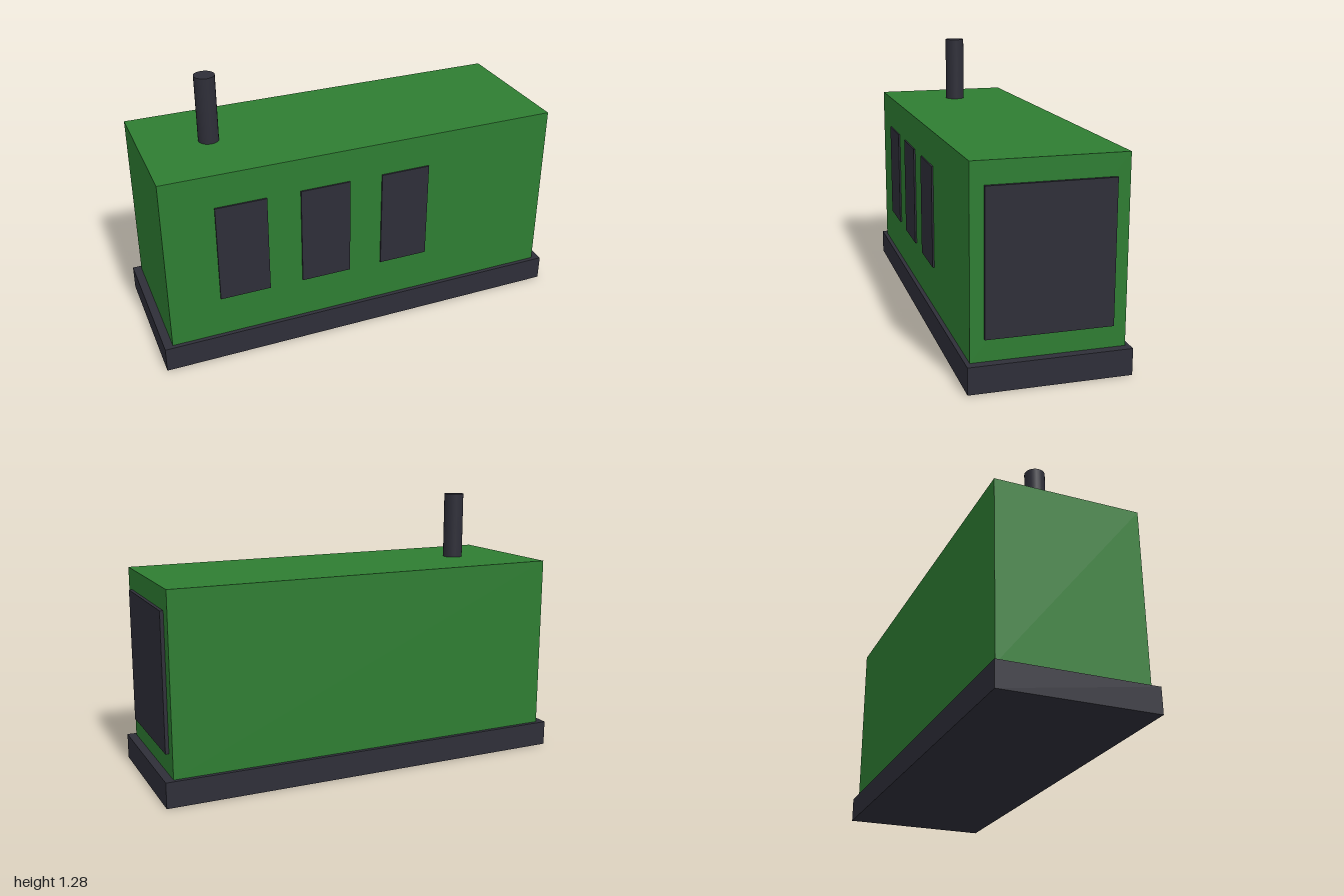
import * as THREE from 'three';

export function createModel() {
  const model = new THREE.Group();
  const green = new THREE.MeshStandardMaterial({ color: 0x2e7d32 });
  green.name = 'housing green';
  const dark = new THREE.MeshStandardMaterial({ color: 0x2e2e38 });
  dark.name = 'dark grey';

  const add = (name, geometry, material, x, y, z) => {
    const mesh = new THREE.Mesh(geometry, material);
    mesh.name = name;
    mesh.position.set(x, y, z);
    model.add(mesh);
  };

  // Base skid and the housing standing on it
  add('baseSkid', new THREE.BoxGeometry(2, 0.12, 0.72), dark, 0, 0.06, 0);
  add('housing', new THREE.BoxGeometry(1.92, 0.84, 0.68), green, 0, 0.54, 0);

  // Radiator panel on the left end
  add('radiatorPanel', new THREE.BoxGeometry(0.032, 0.64, 0.56), dark, 0.96, 0.54, 0);

  // Three vents along the front
  for (let i = 0; i < 3; i++) {
    add(`vent${i + 1}`, new THREE.BoxGeometry(0.24, 0.48, 0.008), dark, -0.6 + i * 0.4, 0.56, 0.344);
  }

  // Exhaust pipe on the roof
  add('exhaustPipe', new THREE.CylinderGeometry(0.048, 0.048, 0.32, 24), dark, -0.64, 1.12, 0);

  return model;
}
